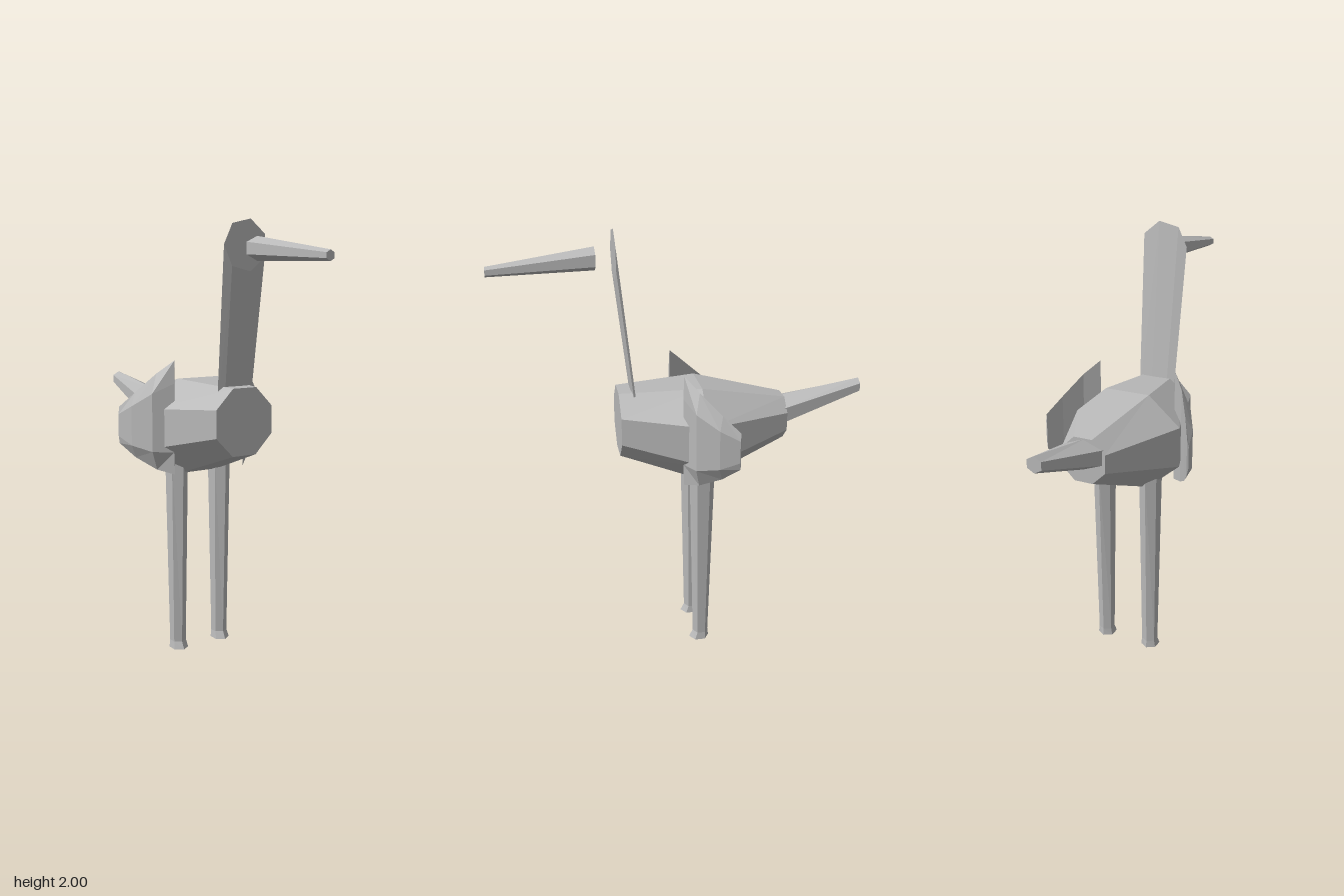
import * as THREE from 'three';

const grey = new THREE.MeshStandardMaterial({ color: 0xb8b8b8 });
grey.name = 'grey';

// Joins rings of equal point count into a closed, faceted solid facing outward
function loft(name, rings) {
  const n = rings[0].length;
  const tris = [];
  for (let r = 0; r < rings.length - 1; r++) {
    for (let i = 0; i < n; i++) {
      const j = (i + 1) % n;
      const [a, b, c, d] = [rings[r][i], rings[r][j], rings[r + 1][j], rings[r + 1][i]];
      tris.push([a, b, c], [a, c, d]);
    }
  }
  const first = rings[0], last = rings[rings.length - 1];
  for (let i = 1; i < n - 1; i++) {
    tris.push([first[0], first[i + 1], first[i]], [last[0], last[i], last[i + 1]]);
  }
  // Reverse the corner order if the solid is inside out
  let volume = 0;
  for (const [a, b, c] of tris) volume += a.dot(b.clone().cross(c));
  if (volume < 0) tris.forEach((t) => t.reverse());
  const geometry = new THREE.BufferGeometry().setFromPoints(tris.flat());
  geometry.computeVertexNormals();
  const mesh = new THREE.Mesh(geometry, grey);
  mesh.name = name;
  return mesh;
}

// Upright polygon ring at depth z
function ringZ(sides, start, y, z, rx, ry) {
  return Array.from({ length: sides }, (_, i) => {
    const a = start + (i / sides) * Math.PI * 2;
    return new THREE.Vector3(Math.cos(a) * rx, y + Math.sin(a) * ry, z);
  });
}

// Level hexagon ring at height y, with corners to the front and back
function ringY(x, y, z, rx, rz) {
  return Array.from({ length: 6 }, (_, i) => {
    const a = (i / 6) * Math.PI * 2;
    return new THREE.Vector3(x + Math.sin(a) * rx, y, z + Math.cos(a) * rz);
  });
}

// Wing cross-section: flat inside, raised panel outside
function wingSection(side, x, z, top, bottom, thick) {
  const inset = (top - bottom) * 0.2;
  const ox = x + thick * 0.85, oz = z + thick * 0.5;
  return [
    [x, top, z], [ox, top - inset, oz], [ox, bottom + inset, oz], [x, bottom, z],
  ].map(([px, py, pz]) => new THREE.Vector3(px * side, py, pz));
}

export function createModel() {
  const model = new THREE.Group();
  model.name = 'wadingBird';
  const k = 1 / Math.cos(Math.PI / 8);

  // Octagonal body, widest just behind the middle
  model.add(loft('body', [
    [1.13, 0.3, 0.15, 0.15],
    [1.073, -0.07, 0.262, 0.223],
    [1.11, -0.47, 0.105, 0.1],
  ].map(([y, z, rx, ry]) => ringZ(8, Math.PI / 8, y, z, rx * k, ry * k))));

  // Flat sheared neck ending in a seven-sided head
  model.add(loft('neckAndHead', [
    ringZ(7, Math.PI, 1.17, 0.22, 0.092, 0.088),
    ringZ(7, Math.PI, 1.89, 0.3, 0.113, 0.113),
  ]));

  // Beak, set off in front of the head
  model.add(loft('beak', [
    ringZ(6, Math.PI / 6, 1.873, 0.38, 0.063, 0.051),
    ringZ(6, Math.PI / 6, 1.833, 0.84, 0.023, 0.022),
  ]));

  // Raised tail
  model.add(loft('tail', [
    ringZ(6, Math.PI / 6, 1.132, -0.45, 0.108, 0.07),
    ringZ(6, Math.PI / 6, 1.229, -0.84, 0.038, 0.036),
  ]));

  for (const side of [1, -1]) {
    const label = side > 0 ? 'left' : 'right';
    // Tapered leg with a small flared foot
    model.add(loft(label + 'Leg', [
      ringY(side * 0.12, 0.95, -0.07, 0.051, 0.06),
      ringY(side * 0.12, 0.035, -0.066, 0.038, 0.037),
      ringY(side * 0.12, 0, -0.059, 0.044, 0.048),
    ]));
    // Curved wing spread outward and back
    model.add(loft(label + 'Wing', [
      [0.19, 0.028, 1.39, 0.87, 0.008],
      [0.25, -0.03, 1.33, 0.89, 0.042],
      [0.31, -0.12, 1.24, 0.94, 0.035],
      [0.353, -0.193, 1.17, 1.0, 0.008],
    ].map((s) => wingSection(side, ...s))));
  }
  return model;
}
